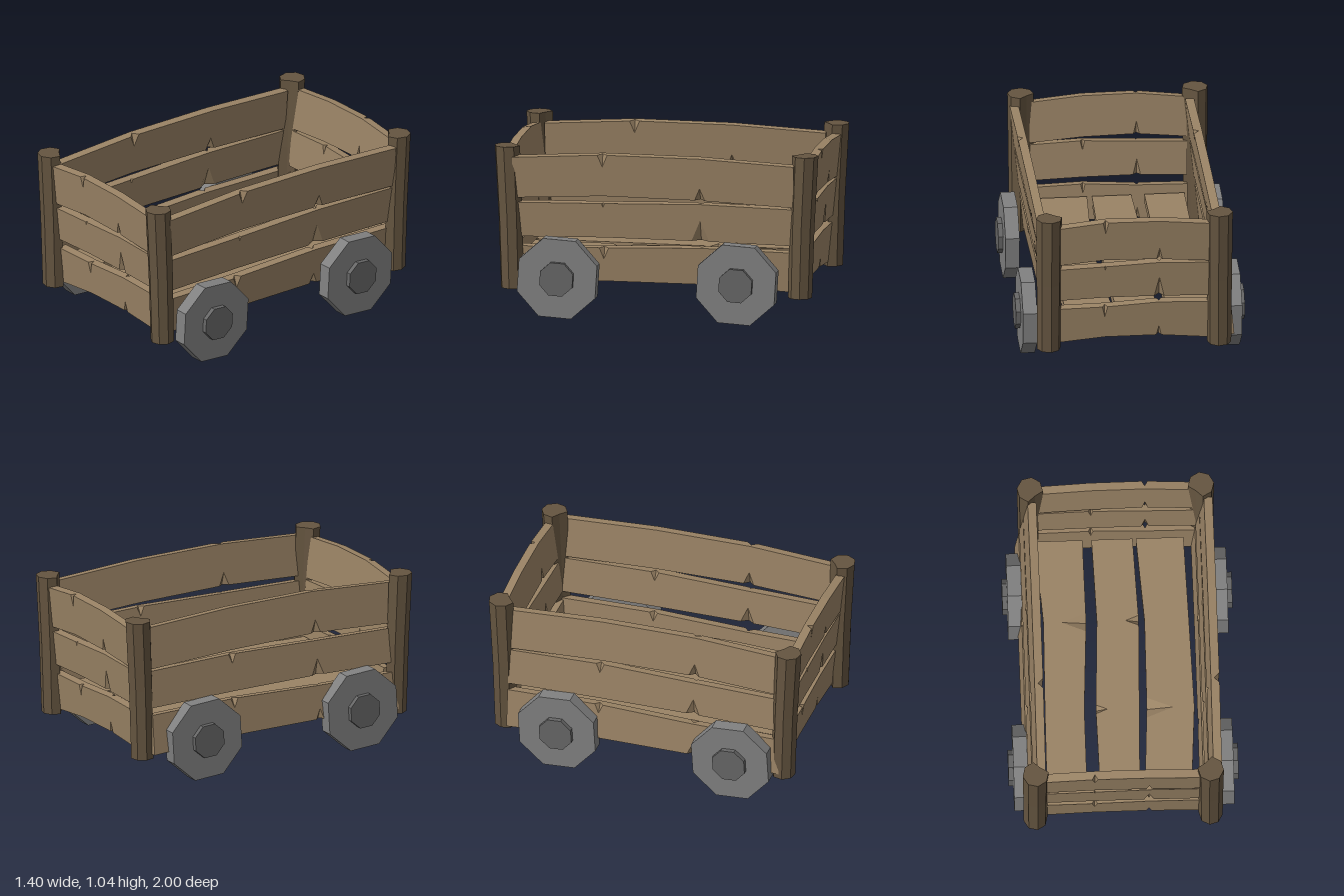
import * as THREE from 'three';

const material = (color) => new THREE.MeshStandardMaterial({ color, flatShading: true });
const wood = material(0x9a8365);
const darkWood = material(0x655540);
const iron = material(0x808080);
const hubIron = material(0x666666);

// Lengthwise stations of every plank, as fractions of half its length
const STATIONS = [-1, -0.36, 0.33, 1];

// Bent plank with chipped corners: length on x, width on y, thickness on z.
// top / bottom: edge heights at the stations.
// chips: [edge (1 top, -1 bottom), station, side (1 front, -1 back), depth]
function plankGeometry(half, top, bottom, thick, chips) {
  const pos = [];
  const t = thick / 2;
  const tri = (a, b, c, out) => {
    const n = b.clone().sub(a).cross(c.clone().sub(a));
    pos.push(...(n.dot(out) >= 0 ? [a, b, c] : [a, c, b]).flatMap((p) => p.toArray()));
  };
  const poly = (pts, flatten, out) => {
    for (const [i, j, k] of THREE.ShapeUtils.triangulateShape(pts.map(flatten), [])) {
      tri(pts[i], pts[j], pts[k], out);
    }
  };
  const point = (edge, i, side) =>
    new THREE.Vector3(STATIONS[i] * half, (edge > 0 ? top : bottom)[i], side * t);

  // The three corners that replace a chipped station
  const chipPoints = (edge, i, side, depth, onFace) => {
    const p = point(edge, i, side);
    const w = (0.46 * depth) / 0.64;
    const apex = p.clone();
    if (onFace) apex.y -= edge * depth;
    else apex.z -= side * Math.min(0.6 * thick, depth * 0.5);
    return [p.clone().lerp(point(edge, i - 1, side), w), apex, p.clone().lerp(point(edge, i + 1, side), w)];
  };
  const corners = (edge, i, side, onFace) => {
    const chip = chips.find((c) => c[0] === edge && c[1] === i && c[2] === side);
    return chip ? chipPoints(edge, i, side, chip[3], onFace) : [point(edge, i, side)];
  };
  const faceLine = (edge, side) => STATIONS.flatMap((_, i) => corners(edge, i, side, true));
  // Long-edge points between stations i and i + 1
  const edgeSpan = (edge, i, side) =>
    [...corners(edge, i, side, false).slice(-2), ...corners(edge, i + 1, side, false).slice(0, 2)];

  for (const s of [1, -1]) {
    // Broad face, long edge and end of this side
    poly([...faceLine(-1, s), ...faceLine(1, s).reverse()],
      (p) => new THREE.Vector2(p.x, p.y), new THREE.Vector3(0, 0, s));
    for (let i = 0; i < 3; i++) {
      poly([...edgeSpan(s, i, 1), ...edgeSpan(s, i, -1).reverse()],
        (p) => new THREE.Vector2(p.x, p.z), new THREE.Vector3(0, s, 0));
    }
    const e = s > 0 ? 3 : 0;
    poly([point(1, e, 1), point(1, e, -1), point(-1, e, -1), point(-1, e, 1)],
      (p) => new THREE.Vector2(p.y, p.z), new THREE.Vector3(s, 0, 0));
  }
  // Sloping faces inside each chip
  for (const [edge, i, side, depth] of chips) {
    const [a, face, b] = chipPoints(edge, i, side, depth, true);
    const rim = chipPoints(edge, i, side, depth, false)[1];
    const out = new THREE.Vector3(0, edge, side);
    tri(a, face, rim, out);
    tri(b, rim, face, out);
  }
  const geo = new THREE.BufferGeometry();
  geo.setAttribute('position', new THREE.Float32BufferAttribute(pos, 3));
  geo.computeVertexNormals();
  return geo;
}

function addMesh(parent, name, geometry, mat) {
  const mesh = new THREE.Mesh(geometry, mat);
  mesh.name = name;
  parent.add(mesh);
  return mesh;
}

// The three boards that make up every wall
const WALL_BOARDS = [
  { name: 'lowerPlank', top: [0.425, 0.43, 0.45, 0.44], bottom: [0.19, 0.22, 0.22, 0.19],
    chips: [[1, 1, 1, 0.07], [-1, 2, 1, 0.065], [1, 2, -1, 0.06], [-1, 1, -1, 0.065]] },
  { name: 'middlePlank', top: [0.7, 0.712, 0.728, 0.715], bottom: [0.485, 0.497, 0.495, 0.485],
    chips: [[1, 1, 1, 0.025], [-1, 2, 1, 0.13], [1, 2, -1, 0.06], [-1, 1, -1, 0.1]] },
  { name: 'upperPlank', top: [0.985, 1.02, 1.017, 0.987], bottom: [0.73, 0.76, 0.753, 0.727],
    chips: [[1, 1, 1, 0.075], [-1, 2, 1, 0.075], [-1, 1, -1, 0.08]] },
];

// Wall leaning toward its front side
function makeWall(name, half, x, z, turn) {
  const wall = new THREE.Group();
  wall.name = name;
  for (const b of WALL_BOARDS) {
    addMesh(wall, b.name, plankGeometry(half, b.top, b.bottom, 0.053, b.chips), wood);
  }
  wall.rotation.set(0.1, turn, 0, 'YXZ');
  wall.position.set(x, 0, z);
  return wall;
}

// Eight-sided post with a groove on its inner corner, bending outward toward its top
function makePost(name, x, zSign, turn) {
  const geo = new THREE.CylinderGeometry(1, 1, 2, 8, 2);
  const p = geo.attributes.position;
  const levels = [[0.16, 0.89, 0.073], [0.6, 0.902, 0.076], [1.04, 0.922, 0.08]];
  for (let i = 0; i < p.count; i++) {
    const [y, z, r] = levels[Math.round(p.getY(i)) + 1];
    const px = p.getX(i), pz = p.getZ(i);
    const groove = px < -0.9 ? 0.65 : 1;
    const a = Math.atan2(pz, px) + turn;
    const rad = Math.hypot(px, pz) * r * groove;
    p.setXYZ(i, x + Math.cos(a) * rad, y, zSign * z + Math.sin(a) * rad);
  }
  geo.computeVertexNormals();
  const post = new THREE.Mesh(geo, darkWood);
  post.name = name;
  return post;
}

// Octagonal wheel with a hub on its outer side
function makeWheel(name, side, z) {
  const wheel = new THREE.Group();
  wheel.name = name;
  const disc = (part, r, from, to, mat) => {
    const geo = new THREE.CylinderGeometry(r, r, to - from, 8);
    geo.rotateY(THREE.MathUtils.degToRad(19));
    geo.rotateZ(-Math.PI / 2);
    addMesh(wheel, part, geo, mat).position.x = side * (from + to) / 2;
  };
  disc('wheelDisc', 0.262, 0.583, 0.67, iron);
  disc('wheelHub', 0.11, 0.64, 0.7, hubIron);
  wheel.position.set(0, 0.25, z);
  return wheel;
}

export function createModel() {
  const cart = new THREE.Group();
  cart.name = 'woodenCart';

  // Walls: the ends lean outward, both sides lean toward +x
  cart.add(makeWall('frontWall', 0.48, -0.01, 0.83, 0));
  cart.add(makeWall('backWall', 0.48, 0.01, -0.836, Math.PI));
  cart.add(makeWall('leftWall', 0.87, 0.468, 0.01, Math.PI / 2));
  cart.add(makeWall('rightWall', 0.87, -0.605, 0.01, Math.PI / 2));

  // Corner posts
  cart.add(makePost('frontLeftPost', 0.523, 1, 0.9));
  cart.add(makePost('frontRightPost', -0.543, 1, 2.2));
  cart.add(makePost('backLeftPost', 0.525, -1, -0.9));
  cart.add(makePost('backRightPost', -0.517, -1, -2.2));

  // Floor boards, running front to back
  const floor = new THREE.Group();
  floor.name = 'floor';
  const boards = [
    { top: [-0.2, -0.195, -0.225, -0.225], bottom: [-0.49, -0.455, -0.465, -0.47], chips: [[1, 1, 1, 0.15]] },
    { top: [0.105, 0.125, 0.11, 0.095], bottom: [-0.145, -0.13, -0.155, -0.145],
      chips: [[1, 1, 1, 0.08], [-1, 2, 1, 0.07]] },
    { top: [0.415, 0.43, 0.445, 0.41], bottom: [0.125, 0.16, 0.155, 0.125], chips: [[-1, 2, 1, 0.16]] },
  ];
  const lay = new THREE.Matrix4().makeBasis(
    new THREE.Vector3(0, 0, 1), new THREE.Vector3(1, 0, 0), new THREE.Vector3(0, 1, 0));
  for (const b of boards) {
    addMesh(floor, 'floorBoard', plankGeometry(0.825, b.top, b.bottom, 0.053, b.chips).applyMatrix4(lay), wood);
  }
  floor.position.y = 0.35;
  cart.add(floor);

  // Wheels
  for (const side of [1, -1]) {
    const label = side > 0 ? 'Left' : 'Right';
    cart.add(makeWheel(`front${label}Wheel`, side, 0.588));
    cart.add(makeWheel(`back${label}Wheel`, side, -0.52));
  }
  return cart;
}
